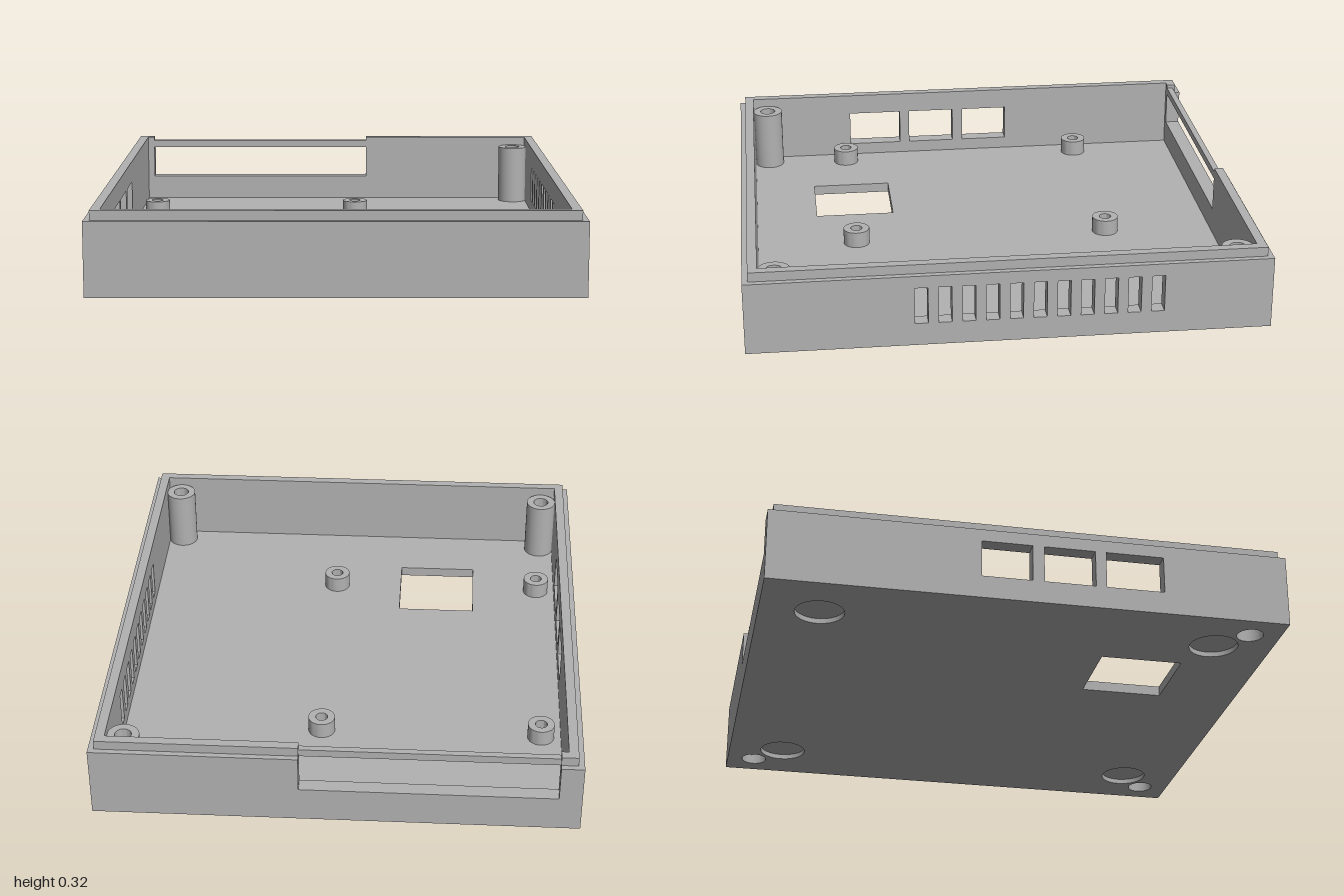
import * as THREE from 'three';
import { toCreasedNormals } from 'three/addons/utils/BufferGeometryUtils.js';

const W = 0.93, D = 1;            // outer half width and half depth
const IW = 0.87, ID = 0.942;      // inner half width and half depth
const LW = 0.907, LD = 0.978;     // outer half size of the lip
const FLOOR = 0.04, WALL = 0.286, LIP = 0.323;
const CUT = { x0: -0.842, x1: 0.138, y: 0.142 }; // port cut-out in the back wall

const poly = (pts, Type = THREE.Shape) => new Type(pts.map(p => new THREE.Vector2(...p)));
const rect = (x0, y0, x1, y1, Type) => poly([[x0, y0], [x1, y0], [x1, y1], [x0, y1]], Type);

function circle(x, y, r) {
  const path = new THREE.Path();
  path.absarc(x, y, r, 0, Math.PI * 2, true);
  return path;
}

function extrude(shape, depth) {
  const geo = new THREE.ExtrudeGeometry(shape, { depth, bevelEnabled: false, curveSegments: 20 });
  return toCreasedNormals(geo, 0.6);
}

export function createModel() {
  const model = new THREE.Group();
  const grey = new THREE.MeshStandardMaterial({ color: 0xb2b2b2 });
  grey.name = 'grey plastic';

  const add = (name, geo, x = 0, y = 0, z = 0) => {
    const mesh = new THREE.Mesh(geo, grey);
    mesh.name = name;
    mesh.position.set(x, y, z);
    model.add(mesh);
  };
  // horizontal slab: the shape's y axis is -z
  const slab = (name, shape, y0, y1) =>
    add(name, extrude(shape, y1 - y0).rotateX(-Math.PI / 2), 0, y0, 0);

  const screws = [[0.81, -0.885], [0.81, 0.88], [-0.81, 0.88]];

  // floor in two layers; only the lower one has the round foot recesses
  for (const lower of [true, false]) {
    const shape = rect(-W, -D, W, D);
    shape.holes.push(rect(-0.515, -0.69, -0.197, -0.367, THREE.Path));
    for (const [x, z] of screws) shape.holes.push(circle(x, -z, 0.052));
    if (lower) {
      for (const x of [-0.69, 0.69])
        for (const z of [-0.77, 0.77]) shape.holes.push(circle(x, z, 0.095));
    }
    slab(lower ? 'floorUnderside' : 'floor', shape, lower ? 0 : FLOOR / 2, lower ? FLOOR / 2 : FLOOR);
  }

  // side walls: vent slots on the right, three port windows on the left
  const sideWall = (name, spans, x) => {
    const shape = rect(-D, FLOOR, D, WALL);
    for (const [z0, z1] of spans) shape.holes.push(rect(z0, 0.09, z1, 0.237, THREE.Path));
    add(name, extrude(shape, W - IW).rotateY(-Math.PI / 2), x);
  };
  const vents = Array.from({ length: 11 }, (_, i) => {
    const c = 0.339 - 0.0897 * i;
    return [c - 0.025, c + 0.025];
  });
  sideWall('ventWall', vents, W);
  sideWall('portWall', [[-0.195, 0], [0.045, 0.243], [0.285, 0.51]], -IW);

  // front wall, and back wall with its large open cut-out
  add('frontWall', new THREE.BoxGeometry(IW * 2, WALL - FLOOR, D - ID),
    0, (WALL + FLOOR) / 2, (D + ID) / 2);
  add('backWall', extrude(poly([
    [-IW, FLOOR], [IW, FLOOR], [IW, WALL], [CUT.x1, WALL], [CUT.x1, CUT.y],
    [CUT.x0, CUT.y], [CUT.x0, WALL], [-IW, WALL],
  ]), D - ID), 0, 0, -D);

  // raised lip running round the rim, interrupted at the cut-out
  slab('lip', poly([
    [CUT.x0, LD], [-LW, LD], [-LW, -LD], [LW, -LD], [LW, LD], [CUT.x1, LD],
    [CUT.x1, ID], [IW, ID], [IW, -ID], [-IW, -ID], [-IW, ID], [CUT.x0, ID],
  ]), WALL, LIP);

  // thin bar bridging the cut-out
  add('cutoutBar', new THREE.BoxGeometry(CUT.x1 - CUT.x0, 0.03, 0.025),
    (CUT.x0 + CUT.x1) / 2, 0.293, -0.9545);

  // turned posts
  const lathe = pts => toCreasedNormals(
    new THREE.LatheGeometry(pts.map(p => new THREE.Vector2(...p)), 32), 0.6);

  // tall corner posts with a screw hole, counterbored from below
  const postGeo = lathe([
    [0.062, FLOOR], [0.062, 0.288], [0.032, 0.288], [0.032, 0.15], [0.052, 0.15], [0.052, FLOOR],
  ]);
  for (const [x, z] of screws) add('screwPost', postGeo, x, 0, z);

  // short board standoffs with blind holes
  const standoffGeo = lathe([
    [0.053, FLOOR], [0.053, 0.105], [0.024, 0.105], [0.024, 0.045], [0, 0.045],
  ]);
  for (const x of [-0.79, 0.083])
    for (const z of [-0.5, 0.537]) add('standoff', standoffGeo, x, 0, z);

  return model;
}
